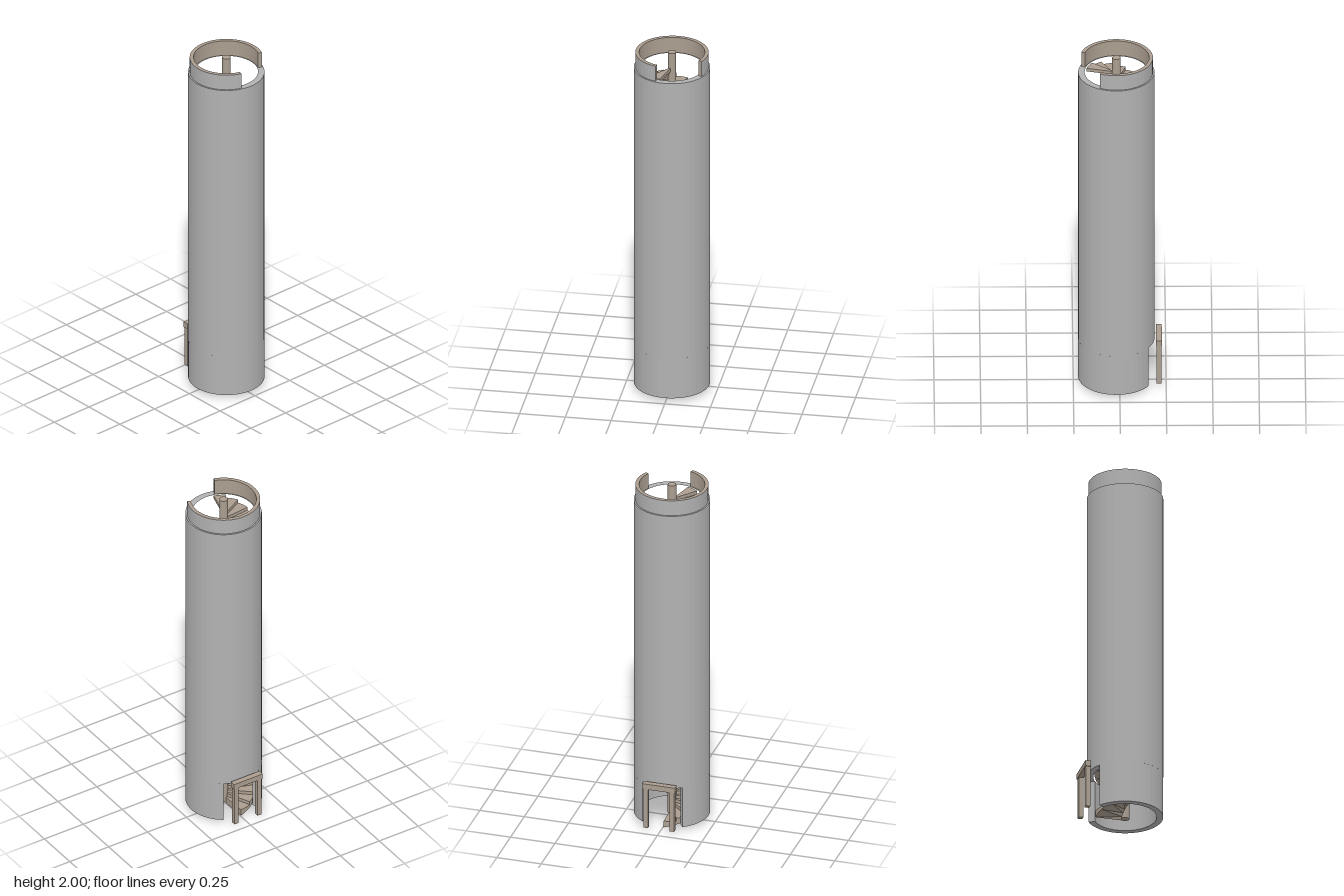
import * as THREE from 'three';

const DEG = Math.PI / 180;

// Points on an arc; angle 0 faces the back (-z), positive towards +x
function arcPoints(r, a0, a1, n) {
  return Array.from({ length: n + 1 }, (_, i) => {
    const a = (a0 + ((a1 - a0) * i) / n) * DEG;
    return new THREE.Vector2(r * Math.sin(a), r * Math.cos(a));
  });
}

// Upright extrusion of a plan outline from y0 to y1
function extrudeUp(shape, y0, y1) {
  const geo = new THREE.ExtrudeGeometry(shape, { depth: y1 - y0, bevelEnabled: false });
  geo.rotateX(-Math.PI / 2);
  geo.translate(0, y0, 0);
  return geo;
}

// Curved wall between two radii, either a sector or a full ring
function curvedWall(r0, r1, a0, a1, y0, y1) {
  const n = Math.round((a1 - a0) / 7.5);
  if (a1 - a0 >= 360) {
    const ring = new THREE.Shape(arcPoints(r1, a0, a1, n).slice(0, -1));
    ring.holes.push(new THREE.Path(arcPoints(r0, a0, a1, n).slice(0, -1)));
    return extrudeUp(ring, y0, y1);
  }
  const outline = [...arcPoints(r1, a0, a1, n), ...arcPoints(r0, a1, a0, n)];
  return extrudeUp(new THREE.Shape(outline), y0, y1);
}

export function createModel() {
  const model = new THREE.Group();
  model.name = 'spiralStairTower';
  const stone = new THREE.MeshStandardMaterial({ color: 0xb2b2b2 });
  stone.name = 'grey stone';
  const tan = new THREE.MeshStandardMaterial({ color: 0xab9e90 });
  tan.name = 'tan stone';

  const tower = new THREE.Group();
  tower.name = 'tower';
  tower.position.z = 0.018;
  model.add(tower);

  function add(parent, name, geo, mat) {
    const mesh = new THREE.Mesh(geo, mat);
    mesh.name = name;
    parent.add(mesh);
    return mesh;
  }

  // Tower wall, with a doorway at the back
  const doorTop = 0.26, wallTop = 1.91;
  add(tower, 'lowerWall', curvedWall(0.171, 0.206, 33, 327, 0.022, doorTop), stone);
  add(tower, 'upperWall', curvedWall(0.171, 0.206, 0, 360, doorTop, wallTop), stone);

  // Parapet, open at the front, with a grey outer facing
  add(tower, 'parapet', curvedWall(0.177, 0.1965, -162.6, 117, wallTop, 2), tan);
  add(tower, 'parapetFacing', curvedWall(0.1965, 0.1975, -162.6, 117, wallTop, 2), stone);

  // Central pole
  const pole = add(tower, 'centralPole', new THREE.CylinderGeometry(0.023, 0.023, 1.99, 20), tan);
  pole.position.y = 1.005;

  // Winding steps: flat treads with a sloping underside
  const stepCount = 99, stepAngle = 23.477, rise = wallTop / (stepCount + 1);
  const wedge = new THREE.Shape([
    ...arcPoints(0.0215, 0, -stepAngle, 2),
    ...arcPoints(0.165, -stepAngle, 0, 5),
  ]);
  const stepGeo = extrudeUp(wedge, 0, 2 * rise);
  const pos = stepGeo.attributes.position;
  for (let i = 0; i < pos.count; i++) {
    if (pos.getY(i) < rise) {
      const angle = Math.atan2(-pos.getX(i), -pos.getZ(i)) / DEG;
      pos.setY(i, (rise * angle) / stepAngle);
    }
  }
  stepGeo.computeVertexNormals();
  const stairs = new THREE.Group();
  stairs.name = 'stairs';
  tower.add(stairs);
  for (let i = 0; i < stepCount; i++) {
    const step = add(stairs, 'step', stepGeo, tan);
    step.position.y = i * rise;
    step.rotation.y = (1.5 + i * stepAngle) * DEG;
  }

  // Free-standing door frame behind the doorway
  const frame = new THREE.Group();
  frame.name = 'doorFrame';
  frame.position.z = -0.211;
  model.add(frame);
  const lintel = add(frame, 'lintel', new THREE.BoxGeometry(0.184, 0.032, 0.032), tan);
  lintel.position.y = 0.274;
  for (const side of [-1, 1]) {
    const post = add(frame, 'doorPost', new THREE.BoxGeometry(0.025, 0.236, 0.025), tan);
    post.position.set(side * 0.074, 0.141, 0);
  }

  return model;
}
